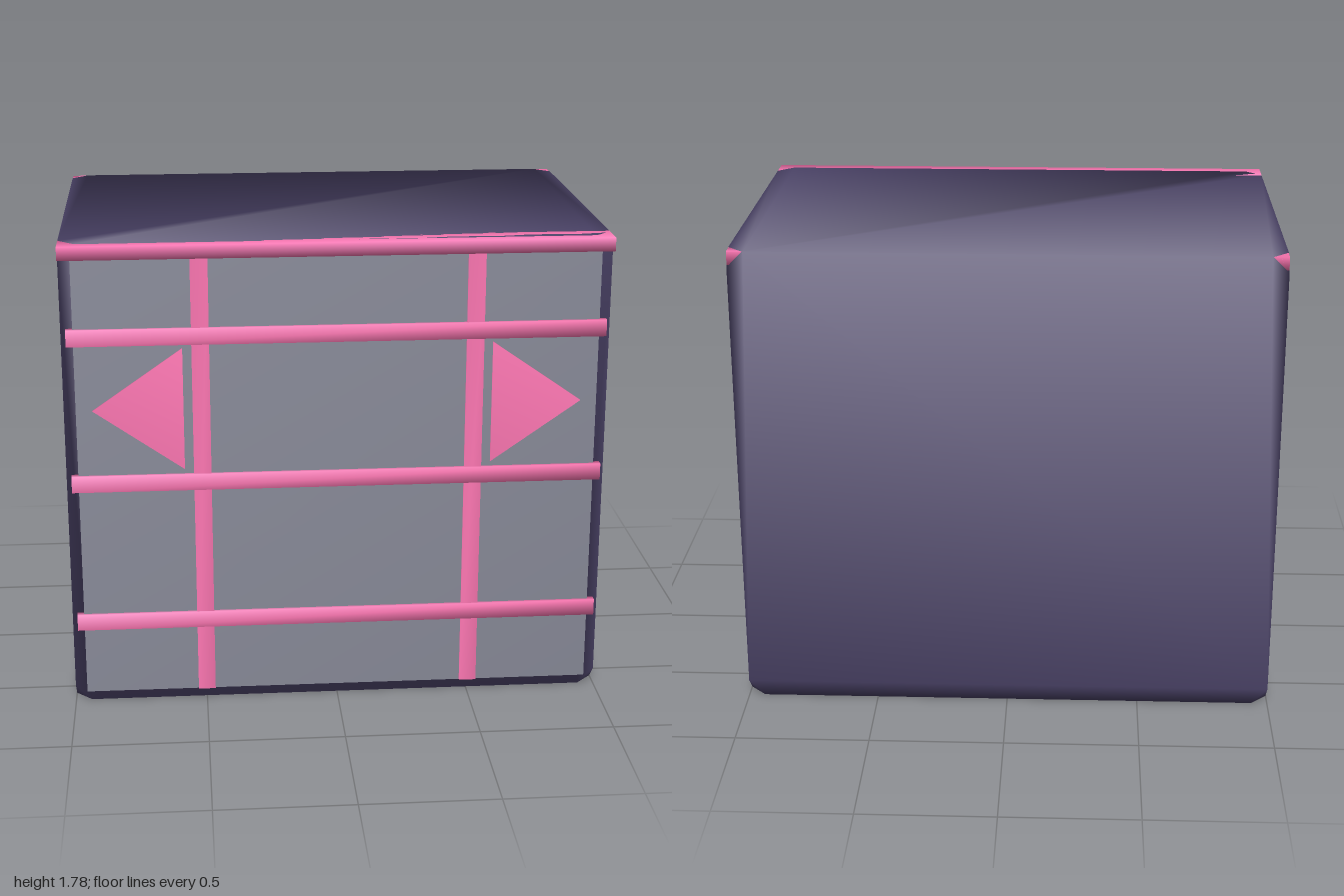
import * as THREE from 'three';
import { mergeVertices } from 'three/addons/utils/BufferGeometryUtils.js';
import { ConvexGeometry } from 'three/addons/geometries/ConvexGeometry.js';

const material = (color) => new THREE.MeshStandardMaterial({ color });

// Shares corner vertices so that shading runs smoothly around every edge.
function smooth(geometry) {
  geometry.deleteAttribute('normal');
  geometry.deleteAttribute('uv');
  const merged = mergeVertices(geometry, 1e-4);
  merged.computeVertexNormals();
  return merged;
}

export function createModel() {
  const group = new THREE.Group();
  const dark = material(0x4b4368);
  const pink = material(0xff78b4);
  const grey = material(0x888a98);

  const add = (name, geometry, mat) => {
    const mesh = new THREE.Mesh(smooth(geometry), mat);
    mesh.name = name;
    group.add(mesh);
  };
  // Box given by its limits on each axis.
  const box = (name, mat, [x0, x1], [y0, y1], [z0, z1]) => {
    const g = new THREE.BoxGeometry(x1 - x0, y1 - y0, z1 - z0);
    g.translate((x0 + x1) / 2, (y0 + y1) / 2, (z0 + z1) / 2);
    add(name, g, mat);
  };

  // Body: a box with its eight corners cut off
  const H = 1.78, back = -0.665, front = 0.62, cut = 0.06;
  const points = [];
  for (const sx of [-1, 1]) for (const sy of [0, 1]) for (const sz of [0, 1]) {
    const x = sx, y = sy * H, z = sz ? front : back;
    points.push(
      new THREE.Vector3(x - sx * cut, y, z),
      new THREE.Vector3(x, y + (sy ? -cut : cut), z),
      new THREE.Vector3(x, y, z + (sz ? -cut : cut)));
  }
  add('body', new ConvexGeometry(points), dark);

  // Front panel
  box('frontPanel', grey, [-0.955, 0.955], [0.05, 1.735], [0.6, 0.655]);

  // Trim around the top edge, showing at the cut corners
  const e = 0.001;
  box('topFrontTrim', pink, [-1, 1], [1.73, H], [0.55, 0.665]);
  box('topBackTrim', pink, [-1 + e, 1 - e], [1.73, H - e], [back + e, back + 0.07]);
  for (const s of [-1, 1]) {
    const xs = s < 0 ? [-1 + e, -0.93] : [0.93, 1 - e];
    box('topSideTrim', pink, xs, [1.73, H - e], [back + e, 0.6]);
  }

  // Horizontal bars across the panel
  for (const y of [0.34, 0.89, 1.445]) {
    box('horizontalBar', pink, [-0.98, 0.98], [y - 0.031, y + 0.031], [0.64, 0.668]);
  }

  for (const s of [-1, 1]) {
    // Vertical bars
    box('verticalBar', pink, [s * 0.5 - 0.032, s * 0.5 + 0.032], [0.05, 1.735], [0.64, 0.663]);

    // Arrowheads pointing outward
    const shape = new THREE.Shape([
      new THREE.Vector2(s * 0.565, 0.94),
      new THREE.Vector2(s * 0.895, 1.17),
      new THREE.Vector2(s * 0.565, 1.4)]);
    const arrow = new THREE.ExtrudeGeometry(shape, { depth: 0.023, bevelEnabled: false });
    arrow.translate(0, 0, 0.64);
    add('arrowhead', arrow, pink);
  }
  return group;
}
